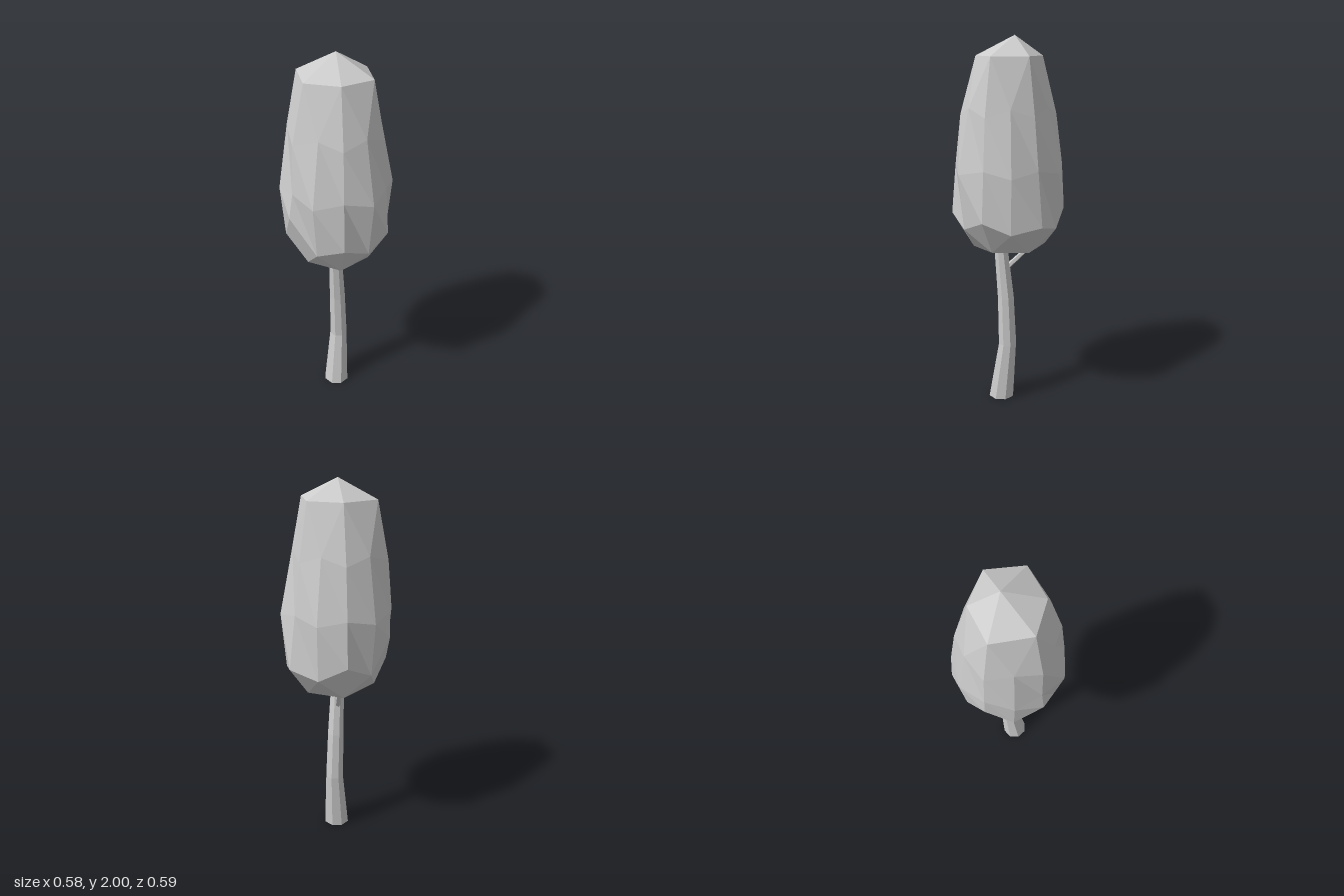
import * as THREE from 'three';

const material = new THREE.MeshStandardMaterial({ color: 0xcccccc, flatShading: true });

// Horizontal ring of points; radii and heights are cycled around the ring
function ring(count, cx, cz, radii, heights) {
  return Array.from({ length: count }, (_, i) => {
    const a = (i / count) * Math.PI * 2;
    const r = radii[i % radii.length];
    return new THREE.Vector3(cx + r * Math.cos(a), heights[i % heights.length], cz + r * Math.sin(a));
  });
}

function meshFrom(name, triangles) {
  const geometry = new THREE.BufferGeometry().setFromPoints(triangles);
  geometry.computeVertexNormals();
  const mesh = new THREE.Mesh(geometry, material);
  mesh.name = name;
  return mesh;
}

// Side faces between two rings of equal count (upper one first)
function band(out, top, bottom) {
  const n = top.length;
  for (let i = 0; i < n; i++) {
    const j = (i + 1) % n;
    out.push(top[i], top[j], bottom[i], top[j], bottom[j], bottom[i]);
  }
}

// Faceted cap: pole, inner ring of n points, outer ring of 2n points
function cap(out, pole, inner, outer, flip) {
  const n = inner.length;
  const tri = (a, b, c) => (flip ? out.push(a, c, b) : out.push(a, b, c));
  for (let i = 0; i < n; i++) {
    const j = (i + 1) % n;
    const o0 = outer[2 * i], o1 = outer[2 * i + 1], o2 = outer[2 * j];
    tri(pole, inner[j], inner[i]);
    tri(inner[i], o1, o0);
    tri(inner[i], inner[j], o1);
    tri(inner[j], o2, o1);
  }
}

function createCrown() {
  const topRing = ring(6, 0, 0, [0.19, 0.164, 0.193, 0.21, 0.176, 0.188], [1.9]);
  const shoulder = ring(12, 0, 0,
    [0.25, 0.234, 0.245, 0.225, 0.264, 0.24, 0.27, 0.245, 0.25, 0.225, 0.24, 0.225], [1.61, 1.65]);
  const middle = ring(12, 0, 0,
    [0.27, 0.3, 0.275, 0.3, 0.275, 0.293, 0.285, 0.295, 0.285, 0.29, 0.275, 0.295], [1.35, 1.32]);
  const belly = ring(12, 0, 0,
    [0.29, 0.27, 0.298, 0.26, 0.298, 0.27, 0.29, 0.27, 0.3, 0.28, 0.314, 0.27],
    [1.09, 1.03, 1.09, 1.03, 1.22, 1.04, 1.21, 1.04, 1.11, 1.03, 1.07, 1.03]);
  const bottomRing = ring(6, 0, 0, [0.185, 0.185, 0.19, 0.21, 0.2, 0.2], [0.91, 0.9, 0.91, 0.94, 0.91, 0.91]);

  const faces = [];
  cap(faces, new THREE.Vector3(-0.015, 2, -0.03), topRing, shoulder, false);
  band(faces, shoulder, middle);
  band(faces, middle, belly);
  cap(faces, new THREE.Vector3(0, 0.86, 0), bottomRing, belly, true);
  return meshFrom('crown', faces);
}

// Bent, tapering octagonal trunk: [y, centre x, centre z, radius]
function createTrunk() {
  const rings = [
    [0.95, 0.01, 0.04, 0.036],
    [0.87, 0.01, 0.036, 0.038],
    [0.6, 0.01, 0.008, 0.046],
    [0.33, 0.013, -0.004, 0.051],
    [0, 0.015, 0.034, 0.072],
  ].map(([y, x, z, r]) => ring(8, x, z, [r], [y]));
  const faces = [];
  for (let i = 0; i < rings.length - 1; i++) band(faces, rings[i], rings[i + 1]);
  const base = rings[rings.length - 1], top = rings[0];
  for (let i = 1; i < 7; i++) {
    faces.push(base[0], base[i], base[i + 1], top[0], top[i + 1], top[i]);
  }
  return meshFrom('trunk', faces);
}

// Thin twig leaning back into the crown
function createBranch() {
  const start = new THREE.Vector3(-0.005, 0.775, 0.005);
  const end = new THREE.Vector3(-0.06, 0.92, -0.13);
  const direction = end.clone().sub(start);
  const branch = new THREE.Mesh(new THREE.CylinderGeometry(0.011, 0.015, direction.length(), 5), material);
  branch.position.copy(start).add(end).multiplyScalar(0.5);
  branch.quaternion.setFromUnitVectors(new THREE.Vector3(0, 1, 0), direction.normalize());
  branch.name = 'branch';
  return branch;
}

export function createModel() {
  const tree = new THREE.Group();
  tree.name = 'tree';
  tree.add(createTrunk(), createBranch(), createCrown());
  return tree;
}
